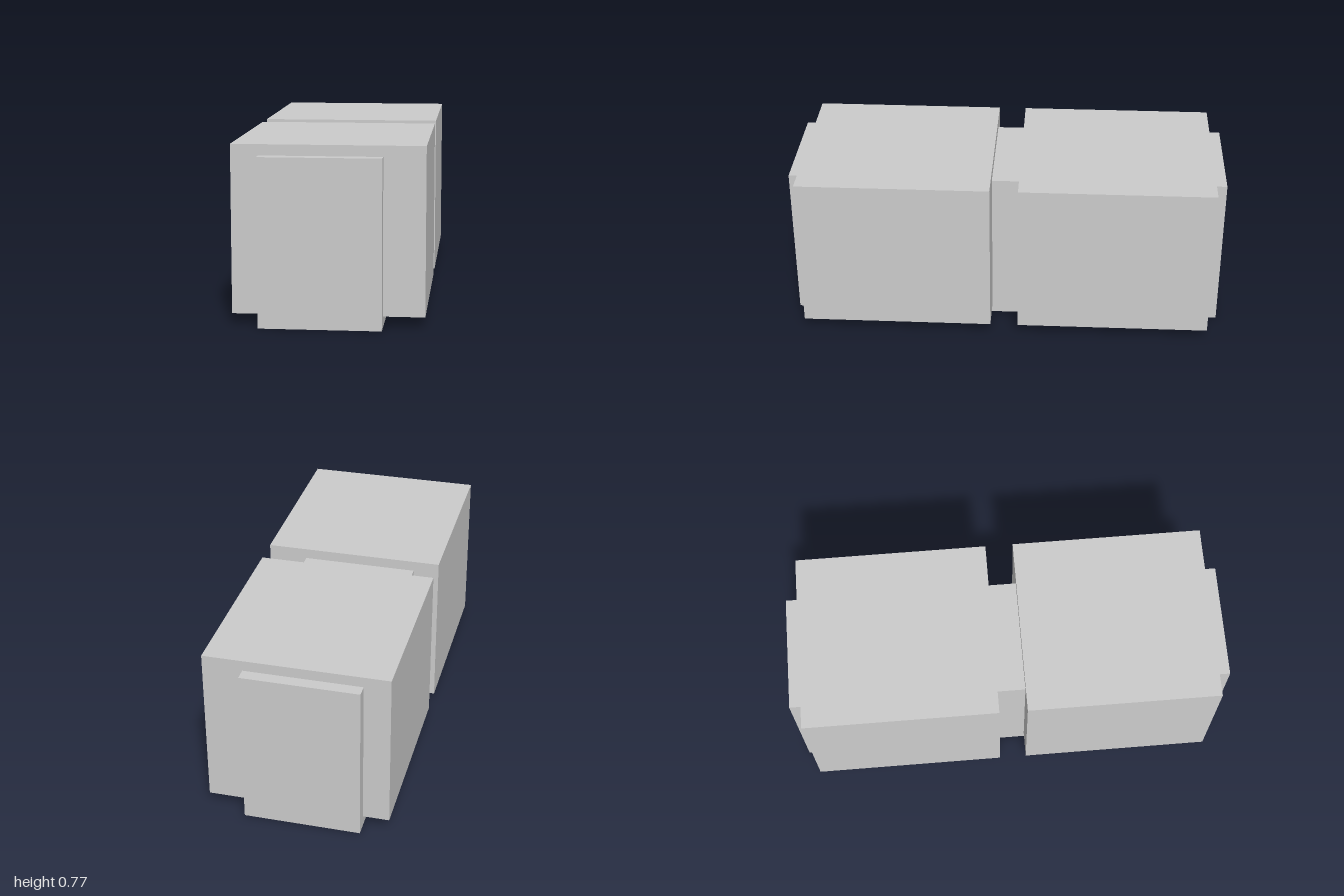
import * as THREE from 'three';

export function createModel() {
  const model = new THREE.Group();
  model.name = 'twinBlocks';
  const material = new THREE.MeshStandardMaterial({ color: 0xcccccc, flatShading: true });

  // Box given by its limits on each axis
  function box(name, [x0, x1], [y0, y1], [z0, z1]) {
    const mesh = new THREE.Mesh(new THREE.BoxGeometry(x1 - x0, y1 - y0, z1 - z0), material);
    mesh.position.set((x0 + x1) / 2, (y0 + y1) / 2, (z0 + z1) / 2);
    mesh.name = name;
    model.add(mesh);
  }

  // Long core running through both blocks, set slightly off centre
  box('core', [-0.292, 0.229], [0, 0.723], [-0.999, 0.999]);

  // Two wide blocks with a narrow gap between them
  box('frontBlock', [-0.409, 0.407], [0.05, 0.77], [0.067, 0.943]);
  box('backBlock', [-0.409, 0.407], [0.05, 0.77], [-0.943, -0.06]);

  // The whole piece sits very slightly turned
  model.rotation.y = -0.0035;
  return model;
}
